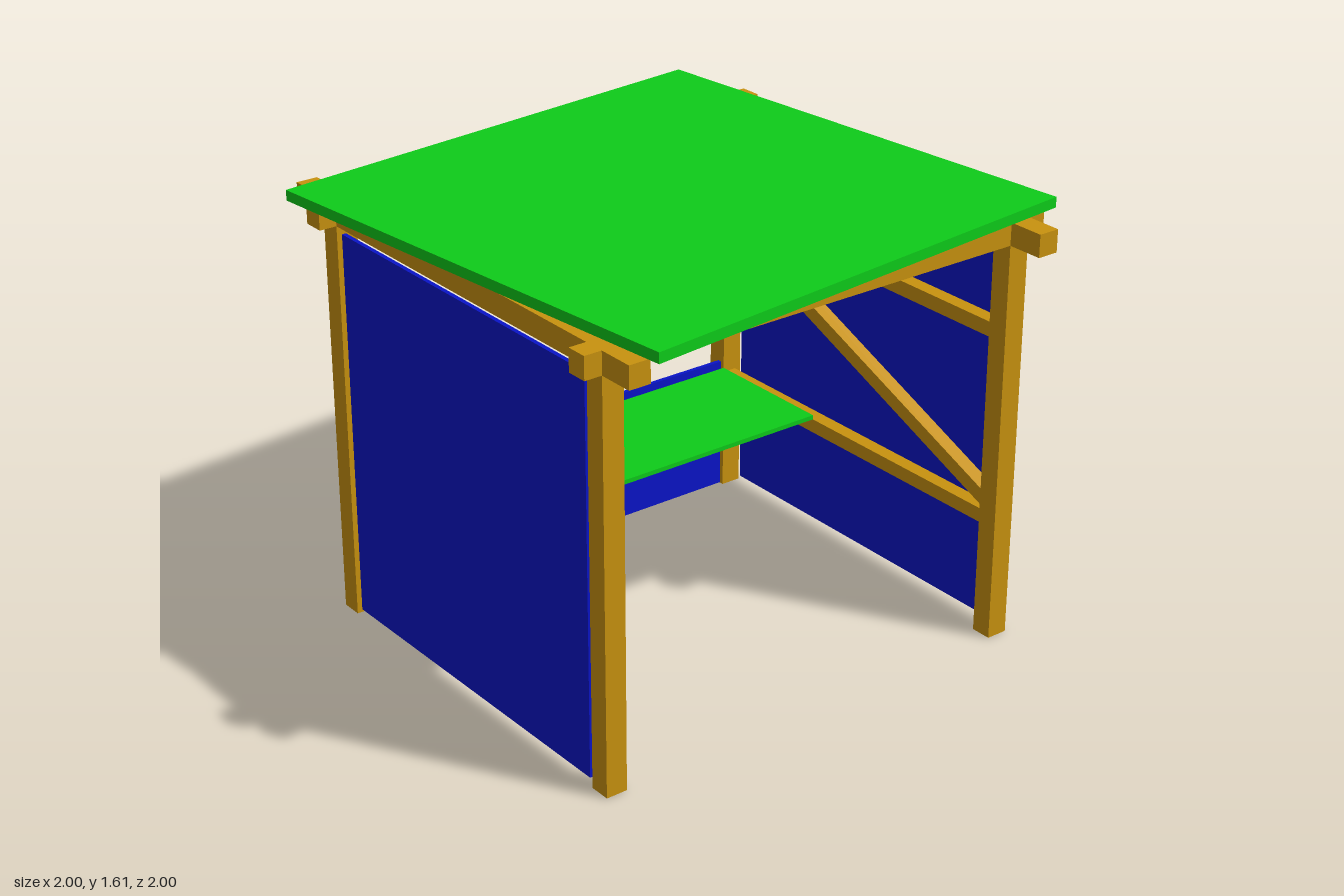
import * as THREE from 'three';

const wood = new THREE.MeshStandardMaterial({ color: 0xc8920f });
const blue = new THREE.MeshStandardMaterial({ color: 0x0a14c8 });
const green = new THREE.MeshStandardMaterial({ color: 0x0ecb1a });

// Box given by its [min, max] range on each axis
function block(name, material, [x0, x1], [y0, y1], [z0, z1]) {
  const mesh = new THREE.Mesh(new THREE.BoxGeometry(x1 - x0, y1 - y0, z1 - z0), material);
  mesh.position.set((x0 + x1) / 2, (y0 + y1) / 2, (z0 + z1) / 2);
  mesh.name = name;
  return mesh;
}

// Straight upright-sided bar whose ends are cut vertically, from u0,v0 to u1,v1
function slantedBar(name, u0, v0, u1, v1, height, depth) {
  const h = height / 2;
  const shape = new THREE.Shape([
    new THREE.Vector2(u0, v0 - h), new THREE.Vector2(u1, v1 - h),
    new THREE.Vector2(u1, v1 + h), new THREE.Vector2(u0, v0 + h),
  ]);
  const geometry = new THREE.ExtrudeGeometry(shape, { depth, bevelEnabled: false });
  const mesh = new THREE.Mesh(geometry, wood);
  mesh.name = name;
  return mesh;
}

export function createModel() {
  const model = new THREE.Group();
  model.name = 'shelter';

  const postX = { right: [-0.88, -0.8], left: [0.79, 0.87] };
  const postZ = { front: [0.735, 0.813], back: [-0.77, -0.69] };

  // Corner posts
  for (const [side, x] of Object.entries(postX))
    for (const [end, z] of Object.entries(postZ))
      model.add(block(`${end} ${side} post`, wood, x, [0, 1.5], z));

  // Crossing top beams that overhang the posts
  for (const [end, z] of Object.entries(postZ))
    model.add(block(`${end} top beam`, wood, [-0.945, 0.938], [1.49, 1.572], z));
  for (const [side, x] of Object.entries(postX))
    model.add(block(`${side} top beam`, wood, x, [1.49, 1.572], [-0.94, 0.947]));

  // Side walls: thin panel outside, two rails and a diagonal brace inside
  for (const [side, x] of Object.entries(postX)) {
    const left = side === 'left';
    const panelX = left ? [0.852, 0.868] : [-0.878, -0.862];
    const railX = left ? [0.79, 0.845] : [-0.855, -0.8];
    model.add(block(`${side} wall panel`, blue, panelX, [0.03, 1.47], [-0.66, 0.72]));
    model.add(block(`${side} lower rail`, wood, railX, [0.43, 0.483], [-0.69, 0.735]));
    model.add(block(`${side} upper rail`, wood, railX, [1.135, 1.19], [-0.69, 0.735]));
    const brace = slantedBar(`${side} diagonal brace`, -0.735, 0.53, 0.69, 1.11, 0.06, 0.055);
    brace.rotation.y = Math.PI / 2;
    brace.position.x = railX[0];
    model.add(brace);
  }

  // Low back wall with a slanted rail behind it
  model.add(block('back wall panel', blue, [-0.79, 0.78], [0.01, 0.528], [-0.71, -0.694]));
  const backRail = slantedBar('back slanted rail', -0.8, 0.4, 0.79, 0.11, 0.06, 0.055);
  backRail.position.z = -0.77;
  model.add(backRail);

  // Bench resting on the lower rails
  model.add(block('bench seat', green, [-0.8, 0.79], [0.483, 0.5], [-0.69, -0.16]));

  // Flat square roof, turned slightly on the frame
  const roof = block('roof', green, [-0.9075, 0.9075], [1.574, 1.612], [-0.9075, 0.9075]);
  roof.rotation.y = 0.105;
  model.add(roof);

  return model;
}
